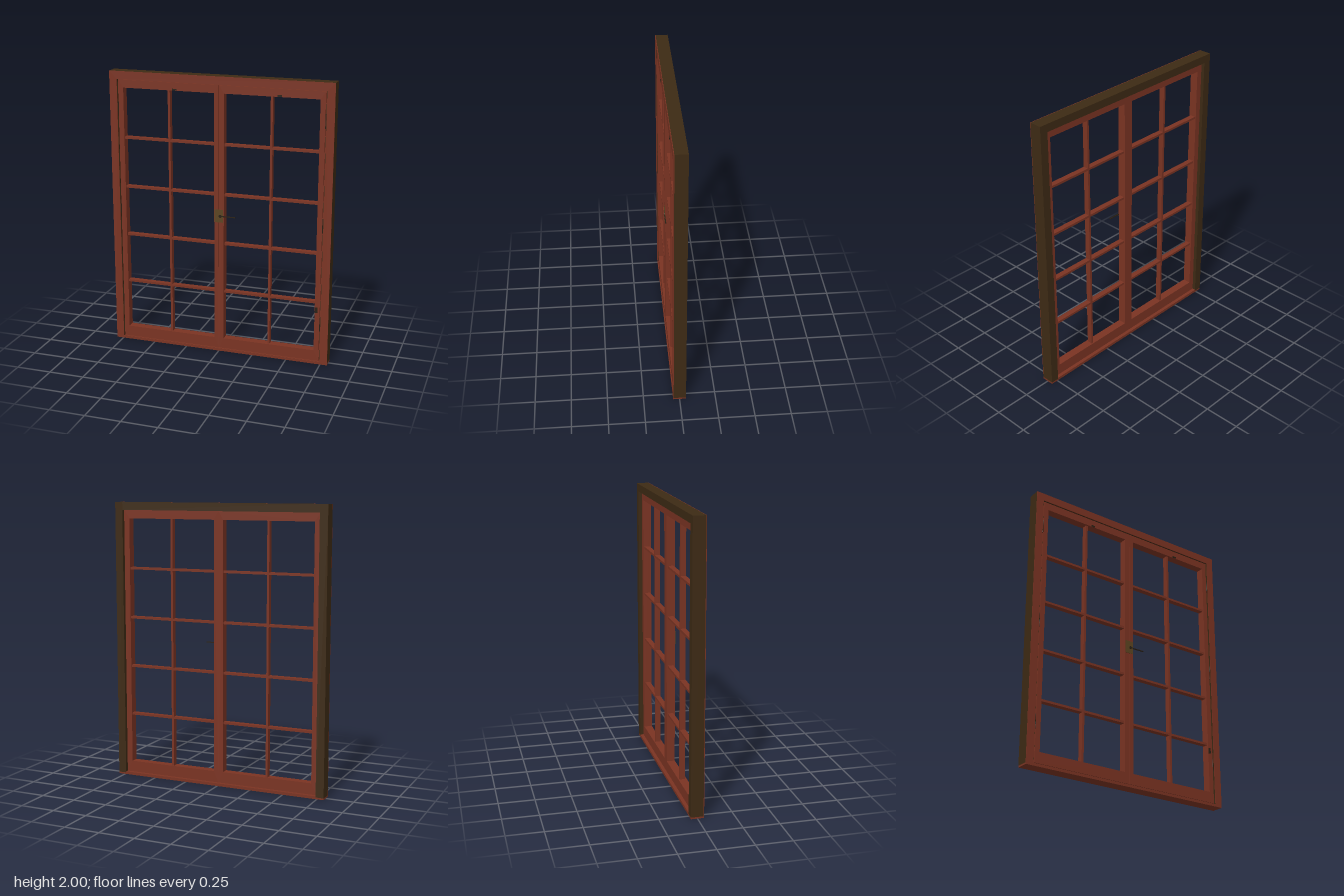
import * as THREE from 'three';

const mat = (name, color) => {
  const m = new THREE.MeshStandardMaterial({ color });
  m.name = name;
  return m;
};

// Rectangular panel with a rectangular opening, extruded from z0 to z1
function ring(outer, inner, z0, z1) {
  const corners = ([x0, x1, y0, y1]) =>
    [[x0, y0], [x1, y0], [x1, y1], [x0, y1]].map(p => new THREE.Vector2(...p));
  const shape = new THREE.Shape(corners(outer));
  shape.holes.push(new THREE.Path(corners(inner).reverse()));
  const g = new THREE.ExtrudeGeometry(shape, { depth: z1 - z0, bevelEnabled: false });
  return g.translate(0, 0, z0);
}

function box(x0, x1, y0, y1, z0, z1) {
  return new THREE.BoxGeometry(x1 - x0, y1 - y0, z1 - z0)
    .translate((x0 + x1) / 2, (y0 + y1) / 2, (z0 + z1) / 2);
}

export function createModel() {
  const wood = mat('red brown wood', 0x7a3322);
  const dark = mat('dark brown wood', 0x3d2a14);
  const brass = mat('aged brass', 0x5c4420);
  const iron = mat('dark iron', 0x2a2014);

  const model = new THREE.Group();
  model.name = 'doubleWindow';
  const add = (parent, name, geometry, material) => {
    const m = new THREE.Mesh(geometry, material);
    m.name = name;
    parent.add(m);
    return m;
  };

  // Fixed frame: dark jambs and header, red sill and front face
  for (const s of [-1, 1]) {
    const [a, b] = s < 0 ? [-0.8, -0.742] : [0.742, 0.8];
    add(model, s < 0 ? 'rightJamb' : 'leftJamb', box(a, b, 0.012, 2, -0.045, 0.041), dark);
  }
  add(model, 'header', box(-0.742, 0.742, 1.945, 2, -0.045, 0.041), dark);
  add(model, 'sill', box(-0.8, 0.8, 0, 0.012, -0.045, 0.041), wood);
  add(model, 'sillStep', box(-0.742, 0.742, 0.012, 0.02, -0.045, 0.041), wood);
  add(model, 'frameFace',
    ring([-0.8, 0.8, 0, 2], [-0.745, 0.745, 0.018, 1.945], 0.041, 0.045), wood);

  // Two sashes, each with a stepped border and glazing bars
  for (const s of [-1, 1]) {
    const sash = new THREE.Group();
    sash.name = s < 0 ? 'rightSash' : 'leftSash';
    model.add(sash);
    const span = (a, b) => (s < 0 ? [-b, -a] : [a, b]);
    const opening = [...span(0.035, 0.7), 0.1, 1.885];
    add(sash, 'sashBack', ring([...span(0, 0.742), 0.02, 1.945], opening, -0.02, 0.03), wood);
    add(sash, 'sashFace', ring([...span(0.002, 0.736), 0.023, 1.94], opening, 0.03, 0.039), wood);

    add(sash, 'verticalBar', box(...span(0.359, 0.375), 0.1, 1.885, -0.012, 0.027), wood);
    for (let i = 1; i < 5; i++) {
      const y = 0.1 + i * 0.357;
      add(sash, 'horizontalBar', box(...span(0.035, 0.7), y - 0.008, y + 0.008, -0.012, 0.027), wood);
    }

    // Hinges in the gap beside the sash
    for (const y of [0.3, 1.02, 1.74]) {
      const hinge = add(sash, 'hinge', new THREE.CylinderGeometry(0.004, 0.004, 0.1, 10), iron);
      hinge.position.set(s * 0.739, y, 0.036);
    }
    // Small catch on the top rail
    const cx = s < 0 ? -0.32 : 0.425;
    add(sash, 'topCatch', box(cx - 0.015, cx + 0.015, 1.886, 1.898, 0.036, 0.042), iron);
  }
  add(model, 'sideCatch', box(0.702, 0.72, 0.385, 0.425, 0.036, 0.042), iron);

  // Handle plate, spindle and thin lever
  const handle = new THREE.Group();
  handle.name = 'handle';
  model.add(handle);
  add(handle, 'handlePlate', box(-0.033, 0.03, 0.975, 1.068, 0.036, 0.042), brass);
  const spindle = add(handle, 'spindle', new THREE.CylinderGeometry(0.011, 0.011, 0.007, 16), iron);
  spindle.rotation.x = Math.PI / 2;
  spindle.position.set(0.01, 1.02, 0.0415);
  add(handle, 'lever', box(0.01, 0.12, 1.017, 1.023, 0.038, 0.045), iron);

  return model;
}
